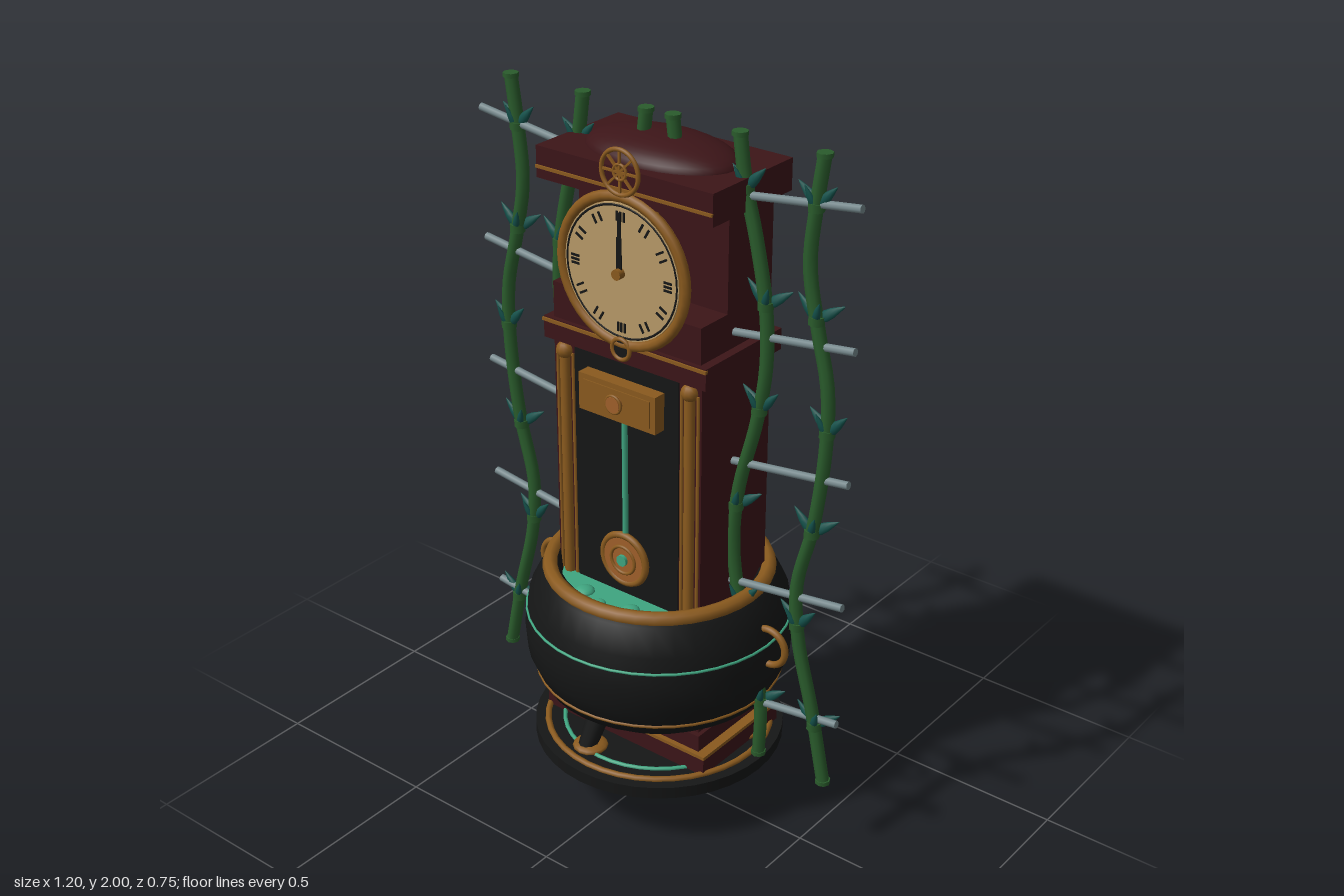
import * as THREE from 'three';

const mat = (name, color, side = THREE.FrontSide) => {
  const m = new THREE.MeshStandardMaterial({ color, side });
  m.name = name;
  return m;
};

export function createModel() {
  const root = new THREE.Group();
  root.name = 'bambooLongcaseClock';
  const wood = mat('dark mahogany', 0x3c1518), black = mat('black iron', 0x151616, THREE.DoubleSide);
  const gold = mat('aged brass', 0x8a5a1e), face = mat('dial cream', 0xb89a68);
  const teal = mat('teal brew', 0x3fa580), stalkGreen = mat('bamboo green', 0x2a5c2c);
  const leafGreen = mat('leaf green', 0x13504a), steel = mat('grey steel', 0x73868a);
  const copper = mat('copper', 0xa0602a);

  const add = (name, geo, m, x = 0, y = 0, z = 0, parent = root) => {
    const mesh = new THREE.Mesh(geo, m);
    mesh.name = name;
    mesh.position.set(x, y, z);
    parent.add(mesh);
    return mesh;
  };
  // box given by its extents, centred on x
  const slab = (name, halfX, y0, y1, z0, z1, m) =>
    add(name, new THREE.BoxGeometry(halfX * 2, y1 - y0, z1 - z0), m, 0, (y0 + y1) / 2, (z0 + z1) / 2);
  // disc or drum facing +z
  const drum = (name, r, depth, m, x, y, z, parent) =>
    add(name, new THREE.CylinderGeometry(r, r, depth, 40).rotateX(Math.PI / 2), m, x, y, z, parent);
  const ring = (name, r, tube, m, x, y, z, parent) =>
    add(name, new THREE.TorusGeometry(r, tube, 8, 40), m, x, y, z, parent);
  const hoop = (name, r, tube, m, y) => {
    const h = add(name, new THREE.TorusGeometry(r, tube, 8, 40), m, 0, y, 0);
    h.rotation.x = Math.PI / 2;
    return h;
  };

  // Clock case
  slab('plinthLower', 0.28, 0.205, 0.26, -0.185, 0.16, wood);
  slab('plinthTrim', 0.284, 0.26, 0.27, -0.16, 0.164, gold);
  slab('plinthUpper', 0.255, 0.26, 0.32, -0.17, 0.15, wood);
  slab('waist', 0.243, 0.3, 1.39, -0.155, 0.135, wood);
  slab('waistLedge', 0.265, 1.37, 1.43, -0.17, 0.15, wood);
  slab('ledgeTrim', 0.267, 1.418, 1.427, 0.145, 0.155, gold);
  slab('hoodShelf', 0.24, 1.43, 1.53, -0.155, 0.138, wood);
  slab('hood', 0.24, 1.53, 1.81, -0.155, 0.03, wood);
  slab('crown', 0.278, 1.805, 1.89, -0.177, 0.147, wood);
  slab('crownTrim', 0.278, 1.832, 1.84, 0.145, 0.152, gold);
  const dome = add('crownDome', new THREE.SphereGeometry(1, 32, 10, 0, Math.PI * 2, 0, Math.PI / 2), wood, 0, 1.885, -0.012);
  dome.scale.set(0.225, 0.06, 0.135);

  // Crest wheel
  const crest = new THREE.Group();
  crest.name = 'crestWheel';
  crest.position.set(0, 1.883, 0.155);
  root.add(crest);
  ring('crestRim', 0.058, 0.006, gold, 0, 0, 0, crest);
  ring('crestHub', 0.02, 0.004, gold, 0, 0, 0, crest);
  for (let i = 0; i < 4; i++) {
    add('crestSpoke', new THREE.BoxGeometry(0.11, 0.006, 0.006), gold, 0, 0, 0, crest).rotation.z = i * Math.PI / 4;
  }

  // Dials with hour bars and minute dots
  const dial = (name, r, y, z) => {
    const g = new THREE.Group();
    g.name = name;
    g.position.set(0, y, z);
    root.add(g);
    drum('dialBack', r * 0.97, 0.014, gold, 0, 0, -0.006, g);
    ring('dialRim', r * 0.93, r * 0.07, gold, 0, 0, 0, g).scale.z = 0.9;
    drum('dialFace', r * 0.86, 0.006, face, 0, 0, 0.003, g);
    ring('minuteRing', r * 0.83, r * 0.014, black, 0, 0, 0.006, g).scale.z = 0.5;
    for (let i = 0; i < 12; i++) {
      const a = i * Math.PI / 6;
      for (const s of i % 3 ? [-1, 1] : [-1, 0, 1]) {
        const bar = add('hourBar', new THREE.BoxGeometry(r * 0.028, r * 0.12, 0.003), black,
          Math.sin(a) * r * 0.7 + Math.cos(a) * s * r * 0.05,
          Math.cos(a) * r * 0.7 - Math.sin(a) * s * r * 0.05, 0.007, g);
        bar.rotation.z = -a;
      }
    }
    return g;
  };
  const main = dial('mainDial', 0.212, 1.62, 0.147);
  add('minuteHand', new THREE.BoxGeometry(0.01, 0.17, 0.003), black, 0, 0.075, 0.012, main);
  add('hourHand', new THREE.BoxGeometry(0.016, 0.1, 0.003), black, 0, 0.045, 0.014, main);
  drum('handBoss', 0.014, 0.02, gold, 0, 0, 0.018, main);

  // Small clock under the base
  slab('lowerClockBox', 0.163, 0, 0.2, -0.055, 0.02, wood);
  dial('lowerDial', 0.155, 0.18, 0.027);

  // Medallion below the main dial
  drum('medallion', 0.024, 0.008, black, 0, 1.412, 0.154);
  ring('medallionRing', 0.028, 0.006, gold, 0, 1.412, 0.157);

  // Waist door, columns and pendulum
  slab('doorPanel', 0.172, 0.5, 1.365, 0.13, 0.139, black);
  for (const s of [-1, 1]) {
    add('column', new THREE.CylinderGeometry(0.016, 0.016, 0.8, 12), gold, s * 0.206, 0.94, 0.135);
    for (const d of [-0.026, 0.026]) {
      add('columnFillet', new THREE.CylinderGeometry(0.005, 0.005, 0.8, 8), gold, s * 0.206 + d, 0.94, 0.135);
    }
    add('columnCap', new THREE.SphereGeometry(0.025, 12, 8), gold, s * 0.206, 1.345, 0.135);
  }
  slab('drawer', 0.126, 1.215, 1.32, 0.135, 0.177, gold);
  slab('drawerPanel', 0.11, 1.23, 1.305, 0.175, 0.18, gold);
  drum('drawerKnob', 0.022, 0.02, copper, 0, 1.268, 0.185);
  ring('drawerKnobRing', 0.024, 0.004, gold, 0, 1.268, 0.19);
  add('pendulumRod', new THREE.CylinderGeometry(0.008, 0.008, 0.4, 8), teal, 0, 1.02, 0.145);
  drum('pendulumBob', 0.068, 0.02, copper, 0, 0.79, 0.147);
  ring('pendulumBobRim', 0.072, 0.01, gold, 0, 0.79, 0.15);
  ring('pendulumBobInner', 0.04, 0.005, gold, 0, 0.79, 0.157);
  drum('pendulumGem', 0.016, 0.012, teal, 0, 0.79, 0.16);

  // Cauldron
  const pot = [[0.0, 0.285], [0.2, 0.285], [0.25, 0.31], [0.33, 0.37], [0.368, 0.46], [0.374, 0.54],
    [0.36, 0.63], [0.325, 0.7], [0.3, 0.725], [0.275, 0.72], [0.262, 0.6]].map(p => new THREE.Vector2(...p));
  add('cauldron', new THREE.LatheGeometry(pot, 40), black);
  hoop('cauldronRim', 0.3, 0.022, gold, 0.714);
  hoop('cauldronTealBand', 0.368, 0.004, teal, 0.585);
  hoop('cauldronBrassBand', 0.344, 0.005, gold, 0.402);
  add('brew', new THREE.CylinderGeometry(0.268, 0.268, 0.02, 40), teal, 0, 0.665, 0);
  [[-0.1, 0.2, 0.028], [-0.03, 0.225, 0.02], [0.06, 0.2, 0.026], [0.13, 0.18, 0.018]].forEach(([x, z, r]) => {
    add('bubble', new THREE.SphereGeometry(r, 12, 8), teal, x, 0.675, z).scale.y = 0.5;
  });
  for (const s of [-1, 1]) ring('cauldronHandle', 0.054, 0.01, gold, s * 0.373, 0.585, 0);

  // Three splayed legs with brass feet
  for (let i = 0; i < 3; i++) {
    const leg = new THREE.Group();
    leg.name = 'cauldronLeg';
    leg.rotation.y = -0.21 + i * Math.PI * 2 / 3;
    root.add(leg);
    add('legPost', new THREE.CylinderGeometry(0.034, 0.026, 0.13, 10), black, 0, 0.265, 0.235, leg).rotation.x = -0.45;
    add('foot', new THREE.SphereGeometry(0.05, 14, 8), gold, 0, 0.21, 0.25, leg).scale.y = 0.3;
  }

  // Round base
  add('baseDisc', new THREE.CylinderGeometry(0.354, 0.354, 0.035, 40), black, 0, 0.188, 0);
  hoop('baseBrassRing', 0.318, 0.009, gold, 0.208);
  hoop('baseTealRing', 0.27, 0.006, teal, 0.207);

  // Bamboo stalks: nodes and paired leaves along a waving path
  const leafGeo = new THREE.SphereGeometry(1, 8, 6).scale(0.017, 0.042, 0.012).translate(0, 0.042, 0);
  const leafTaper = leafGeo.attributes.position;
  for (let i = 0; i < leafTaper.count; i++) {
    const k = 1.25 - leafTaper.getY(i) / 0.084;
    leafTaper.setX(i, leafTaper.getX(i) * k);
    leafTaper.setZ(i, leafTaper.getZ(i) * k);
  }
  leafGeo.computeVertexNormals();
  const stalk = (name, pts, s, leafy) => {
    const g = new THREE.Group();
    g.name = name;
    root.add(g);
    const curve = new THREE.CatmullRomCurve3(pts.map(([x, y]) => new THREE.Vector3(s * x, y, 0)));
    add('cane', new THREE.TubeGeometry(curve, 48, 0.018, 8), stalkGreen, 0, 0, 0, g);
    const node = (p, h) => add('caneNode', new THREE.CylinderGeometry(0.021, 0.021, h, 8), stalkGreen, p.x, p.y, 0, g);
    node(curve.getPoint(0), 0.012);
    node(curve.getPoint(1), 0.012);
    if (!leafy) return;
    const samples = curve.getSpacedPoints(240);
    [0.4, 0.69, 0.98, 1.28, 1.57, 1.86].forEach((y, i) => {
      const p = samples.reduce((a, b) => Math.abs(b.y - y) < Math.abs(a.y - y) ? b : a);
      node(p, 0.022);
      [[1, 0.95], [-1, 0.75], [1, 0.35]].forEach(([side, tilt], j) => {
        const dir = i % 2 ? side : -side;
        const leaf = add('leaf', leafGeo, leafGreen, p.x, p.y, (j - 1) * 0.008, g);
        leaf.rotation.set((j - 1) * 0.25, 0, dir * tilt);
        leaf.scale.setScalar(j === 2 ? 0.75 : 1);
      });
    });
  };
  const outer = [[0.565, 0.23], [0.52, 0.44], [0.467, 0.65], [0.457, 0.81], [0.5, 1.0], [0.528, 1.24],
    [0.525, 1.4], [0.49, 1.55], [0.46, 1.71], [0.473, 1.87], [0.49, 1.994]];
  const inner = [[0.35, 0.23], [0.352, 0.4], [0.31, 0.58], [0.265, 0.74], [0.25, 0.88], [0.265, 1.04],
    [0.315, 1.24], [0.34, 1.4], [0.335, 1.56], [0.3, 1.74], [0.265, 1.87], [0.246, 1.994]];
  for (const s of [-1, 1]) {
    stalk('outerBamboo', outer, s, true);
    stalk('innerBamboo', inner, s, true);
    stalk('centreBamboo', [[0.065, 1.7], [0.055, 1.88], [0.042, 1.994]], s, false);
    // Sloping trellis rods
    for (const y of [0.43, 0.795, 1.155, 1.52, 1.885]) {
      const rod = add('trellisRod', new THREE.CylinderGeometry(0.011, 0.011, 0.5, 8), steel, s * 0.352, y - 0.032, 0);
      rod.rotation.z = s * (-Math.PI / 2 + 0.13);
    }
  }
  return root;
}
